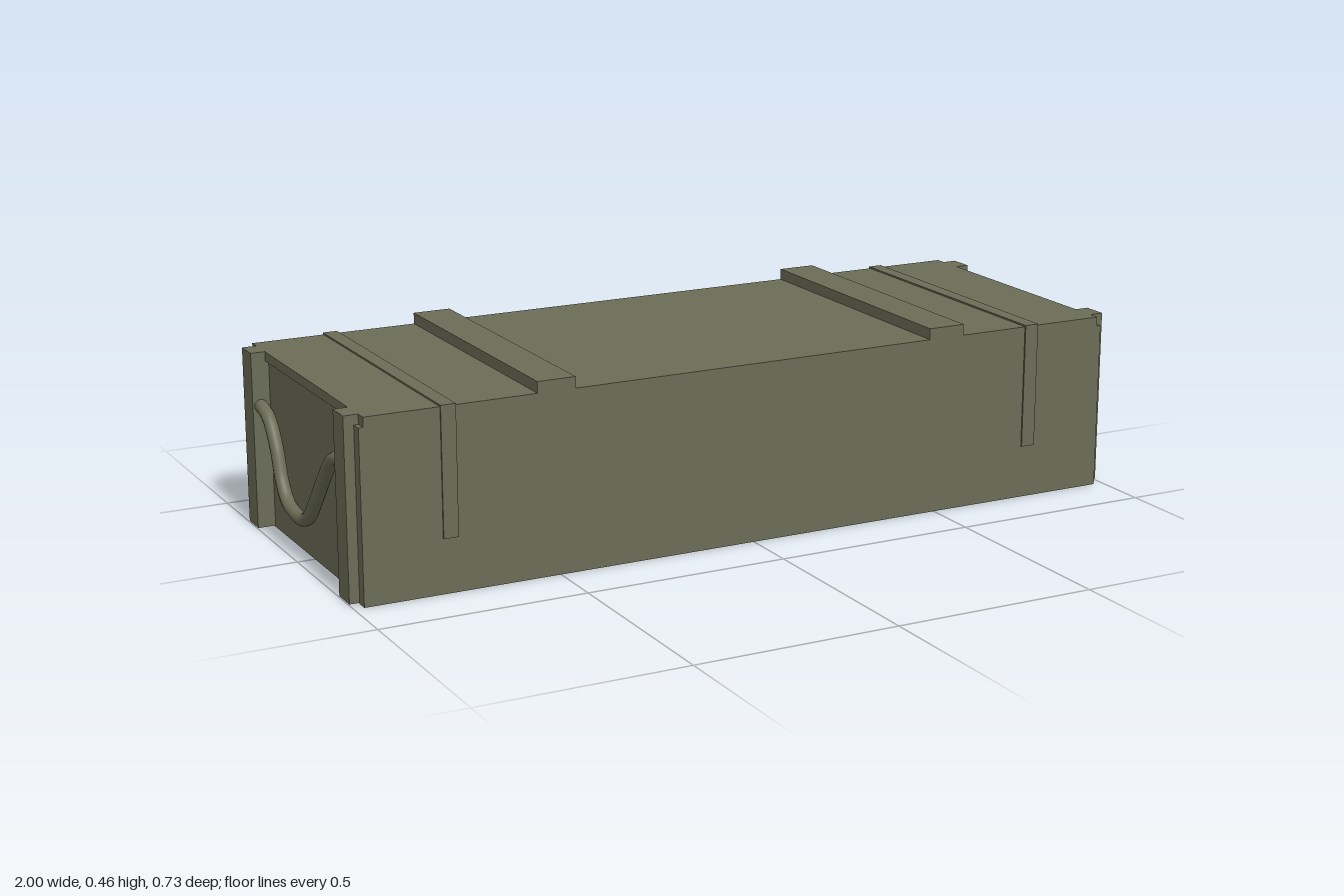
import * as THREE from 'three';

export function createModel() {
  const crate = new THREE.Group();
  crate.name = 'crate';
  const olive = new THREE.MeshStandardMaterial({ color: 0x6b6d57 });
  olive.name = 'olive paint';

  // Box spanning [min, max] on each axis
  function box(name, [x0, x1], [y0, y1], [z0, z1], parent = crate) {
    const mesh = new THREE.Mesh(new THREE.BoxGeometry(x1 - x0, y1 - y0, z1 - z0), olive);
    mesh.position.set((x0 + x1) / 2, (y0 + y1) / 2, (z0 + z1) / 2);
    mesh.name = name;
    parent.add(mesh);
  }

  // Body and lid; the lid overhangs the recessed end panels
  box('body', [-0.957, 0.957], [0, 0.41], [-0.33, 0.33]);
  box('lid', [-0.965, 0.965], [0.41, 0.433], [-0.36, 0.36]);

  // Long side boards reach past the ends of the lid
  box('frontBoard', [-0.976, 0.976], [0, 0.41], [0.33, 0.36]);
  box('backBoard', [-0.976, 0.976], [0, 0.41], [-0.36, -0.33]);

  // Raised battens across the lid
  box('leftBatten', [0.477, 0.572], [0.433, 0.46], [-0.36, 0.36]);
  box('rightBatten', [-0.552, -0.458], [0.433, 0.46], [-0.36, 0.36]);

  // Thin metal straps wrapped over the lid and down both sides
  for (const x of [-0.768, 0.768]) {
    const span = [x - 0.018, x + 0.018];
    const strap = new THREE.Group();
    strap.name = 'strap';
    box('strapTop', span, [0.433, 0.437], [-0.364, 0.364], strap);
    box('strapFront', span, [0.13, 0.433], [0.36, 0.364], strap);
    box('strapBack', span, [0.125, 0.433], [-0.364, -0.36], strap);
    crate.add(strap);
  }

  // Each end carries two posts and a sagging rope; the other end is turned half round
  const ropePath = new THREE.CatmullRomCurve3([
    [0.28, 0.303], [0.25, 0.3], [0.21, 0.28], [0.172, 0.227], [0.14, 0.15], [0.105, 0.112],
    [0.06, 0.099], [0.01, 0.097], [-0.035, 0.115], [-0.08, 0.162], [-0.15, 0.245],
    [-0.195, 0.291], [-0.235, 0.309], [-0.28, 0.31],
  ].map(([z, y]) => new THREE.Vector3(0.98, y, z)));
  const ropeGeometry = new THREE.TubeGeometry(ropePath, 64, 0.0162, 14);

  for (const turn of [0, Math.PI]) {
    const end = new THREE.Group();
    end.name = turn ? 'rightEnd' : 'leftEnd';
    end.rotation.y = turn;
    box('frontPost', [0.957, 1], [0.003, 0.433], [0.27, 0.332], end);
    box('backPost', [0.957, 1], [0.003, 0.433], [-0.332, -0.27], end);
    const rope = new THREE.Mesh(ropeGeometry, olive);
    rope.name = 'ropeHandle';
    end.add(rope);
    crate.add(end);
  }
  return crate;
}
